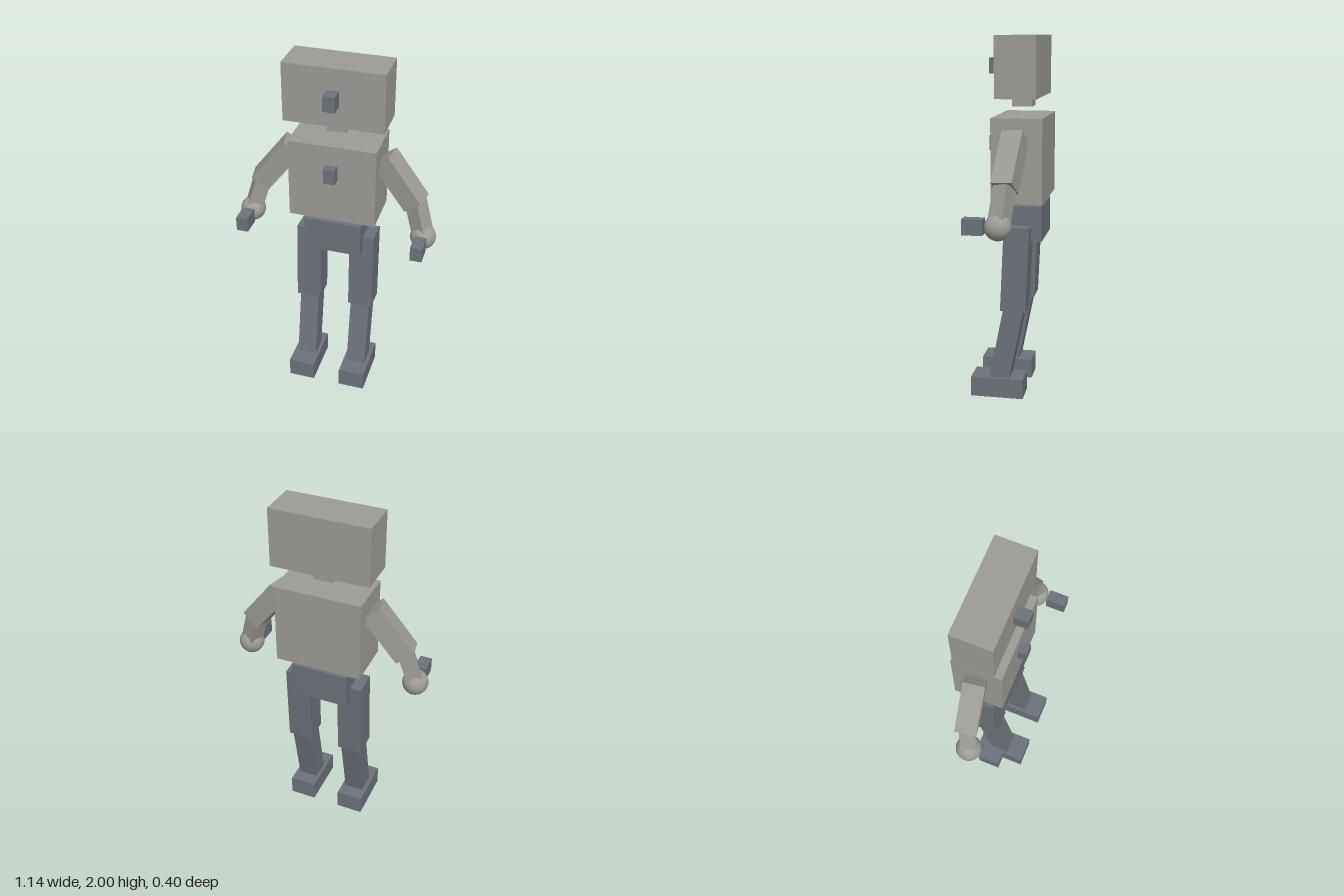
import * as THREE from 'three';

const grey = new THREE.MeshStandardMaterial({ name: 'warm grey', color: 0x9c9b95 });
const slate = new THREE.MeshStandardMaterial({ name: 'slate', color: 0x6c727a });

export function createModel() {
  const model = new THREE.Group();
  model.name = 'blockRobot';

  function add(name, geometry, material, x, y, z) {
    const mesh = new THREE.Mesh(geometry, material);
    mesh.name = name;
    mesh.position.set(x, y, z);
    model.add(mesh);
    return mesh;
  }

  // Upright block centred on x, spanning y0..y1 and z0..z1
  function block(name, material, x, width, y0, y1, z0, z1) {
    return add(name, new THREE.BoxGeometry(width, y1 - y0, z1 - z0), material,
      x, (y0 + y1) / 2, (z0 + z1) / 2);
  }

  // Square bar between two points; side sets its twist about its length
  function limb(name, material, from, to, size, side) {
    const a = new THREE.Vector3(...from), b = new THREE.Vector3(...to);
    const up = a.clone().sub(b);
    const length = up.length();
    up.normalize();
    const z = new THREE.Vector3(...side).cross(up).normalize();
    const x = up.clone().cross(z);
    const mid = a.add(b).multiplyScalar(0.5);
    const mesh = add(name, new THREE.BoxGeometry(size, length, size), material, mid.x, mid.y, mid.z);
    mesh.quaternion.setFromRotationMatrix(new THREE.Matrix4().makeBasis(x, up, z));
  }

  // Head, neck, torso and hips
  block('head', grey, 0, 0.548, 1.675, 2, -0.17, 0.05);
  block('neck', grey, 0, 0.11, 1.62, 1.68, -0.115, -0.005);
  block('torso', grey, 0, 0.485, 1.116, 1.573, -0.2, 0.077);
  block('hips', slate, 0, 0.325, 0.895, 1.09, -0.187, 0.067);

  // Small blocks on the face and chest
  block('faceBlock', slate, 0, 0.065, 1.795, 1.88, 0.015, 0.126);
  block('chestBlock', slate, 0, 0.065, 1.375, 1.46, 0.015, 0.126);

  for (const [s, label] of [[1, 'left'], [-1, 'right']]) {
    // Arm with a ball hand and a block floating in front of it
    limb(label + 'UpperArm', grey, [s * 0.254, 1.483, -0.06], [s * 0.445, 1.239, -0.038],
      0.116, [s * 0.788, 0.616, 0.17]);
    limb(label + 'Forearm', grey, [s * 0.438, 1.255, -0.042], [s * 0.497, 1.05, -0.016],
      0.086, [s * 0.88, 0.28, 0.42]);
    add(label + 'Hand', new THREE.SphereGeometry(0.071, 32, 20), grey, s * 0.497, 1.047, -0.014);
    block(label + 'HandBlock', slate, s * 0.496, 0.066, 1.005, 1.088, 0.06, 0.17);

    // Leg and foot
    limb(label + 'Thigh', slate, [s * 0.155, 0.983, -0.06], [s * 0.157, 0.508, -0.039], 0.141, [1, 0, 0]);
    limb(label + 'Shin', slate, [s * 0.155, 0.515, -0.04], [s * 0.155, 0.06, 0.05], 0.112, [1, 0, 0]);
    block(label + 'Foot', slate, s * 0.156, 0.153, 0, 0.112, -0.097, 0.199);
  }

  return model;
}
